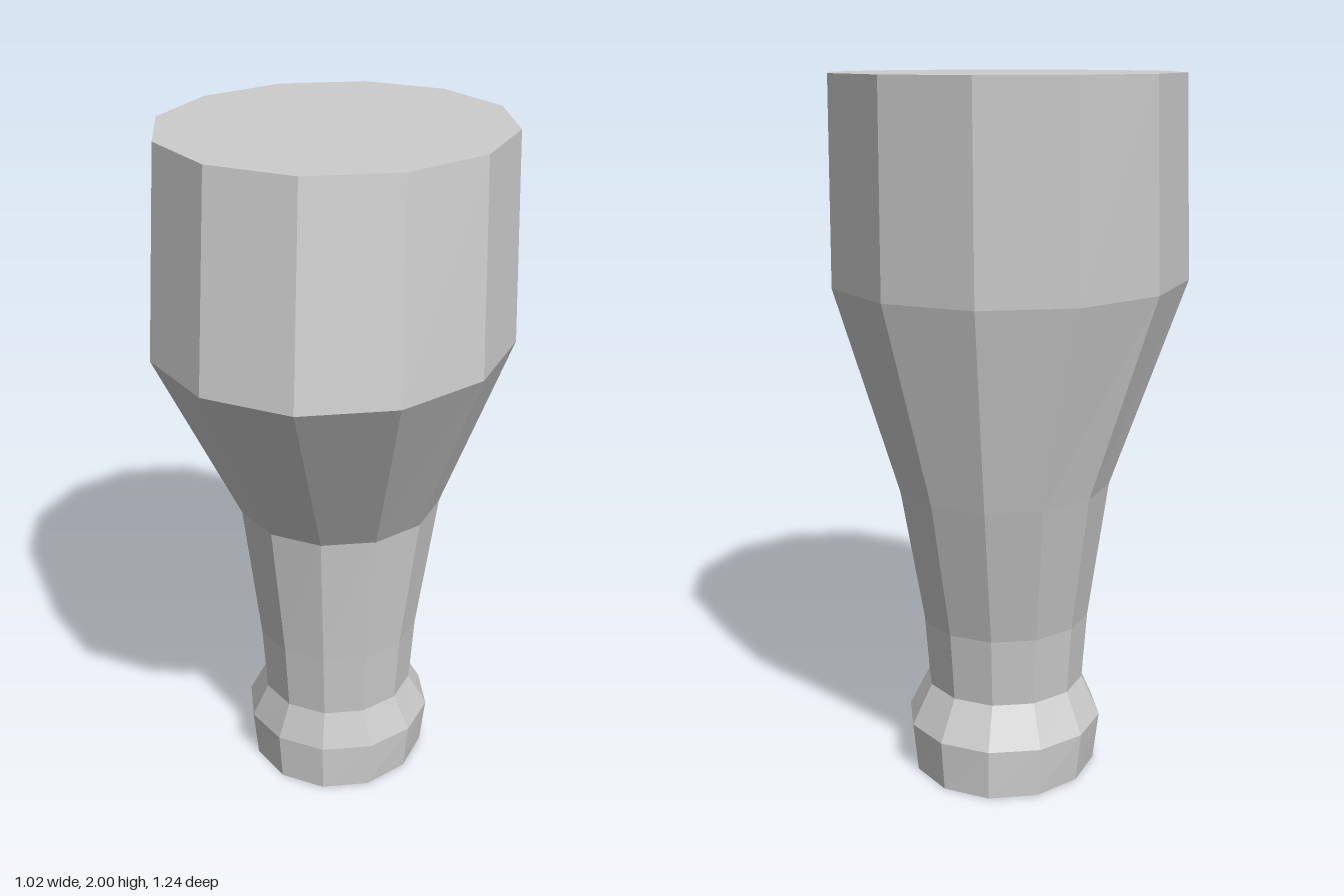
import * as THREE from 'three';

const SIDES = 12;

// Closed loft through horizontal elliptical rings: [y, half width, front z, back z]
function loft(rings) {
  const pos = [], index = [];
  for (const [y, rx, front, back] of rings) {
    const cz = (front + back) / 2, rz = (front - back) / 2;
    for (let i = 0; i < SIDES; i++) {
      const a = (i / SIDES) * Math.PI * 2;
      pos.push(Math.sin(a) * rx, y, cz + Math.cos(a) * rz);
    }
  }
  for (let r = 0; r < rings.length - 1; r++) {
    for (let i = 0; i < SIDES; i++) {
      const j = (i + 1) % SIDES;
      const a = r * SIDES + i, b = r * SIDES + j;
      index.push(a, b, b + SIDES, a, b + SIDES, a + SIDES);
    }
  }
  // Flat end caps
  const top = (rings.length - 1) * SIDES;
  for (let i = 1; i < SIDES - 1; i++) {
    index.push(0, i + 1, i);
    index.push(top, top + i, top + i + 1);
  }
  const geo = new THREE.BufferGeometry();
  geo.setAttribute('position', new THREE.Float32BufferAttribute(pos, 3));
  geo.setIndex(index);
  const flat = geo.toNonIndexed();
  flat.computeVertexNormals();
  return flat;
}

export function createModel() {
  const group = new THREE.Group();
  group.name = 'taperedLimb';
  const grey = new THREE.MeshStandardMaterial({ color: 0xcccccc, flatShading: true });
  grey.name = 'light grey';

  const body = new THREE.Mesh(loft([
    [0.00, 0.268, 0.20, -0.405],  // cuff base
    [0.14, 0.285, 0.20, -0.405],  // cuff rim
    [0.25, 0.230, 0.165, -0.33],  // narrow ankle
    [0.45, 0.245, 0.18, -0.35],
    [0.86, 0.305, 0.22, -0.46],   // start of flare
    [1.43, 0.512, 0.617, -0.60],  // widest ring
    [2.00, 0.495, 0.522, -0.62],  // flat top
  ]), grey);
  body.name = 'limb';
  group.add(body);
  return group;
}
